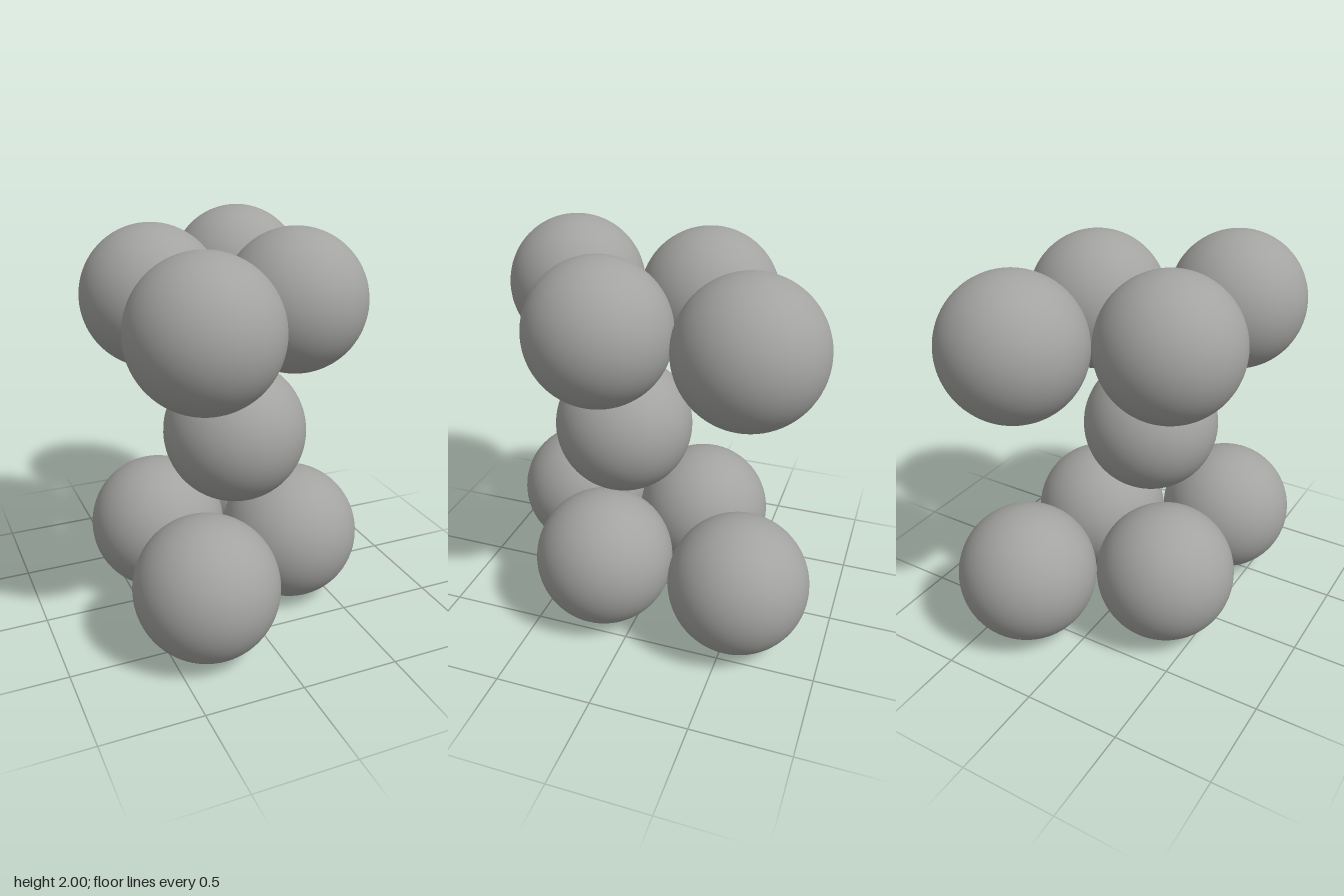
import * as THREE from 'three';

const RADIUS = 0.361;

export function createModel() {
  const model = new THREE.Group();
  model.name = 'packedSpheres';

  const grey = new THREE.MeshStandardMaterial({ color: 0xa3a3a1 });
  grey.name = 'grey';
  const ball = new THREE.SphereGeometry(RADIUS, 64, 40);

  const addBall = (parent, name, x, y, z) => {
    const mesh = new THREE.Mesh(ball, grey);
    mesh.name = name;
    mesh.position.set(x, y, z);
    parent.add(mesh);
  };

  // Two identical layers of four balls, staggered from side to side
  for (const [name, y] of [['lowerLayer', RADIUS], ['upperLayer', 2 - RADIUS]]) {
    const layer = new THREE.Group();
    layer.name = name;
    layer.position.y = y;
    for (let i = 0; i < 4; i++) {
      addBall(layer, `${name}Ball${i + 1}`, i % 2 ? -0.312 : 0.312, 0, -0.549 + i * 0.366);
    }
    model.add(layer);
  }

  // Single ball nested between the layers
  addBall(model, 'middleBall', -0.01, 1, 0.183);

  return model;
}
